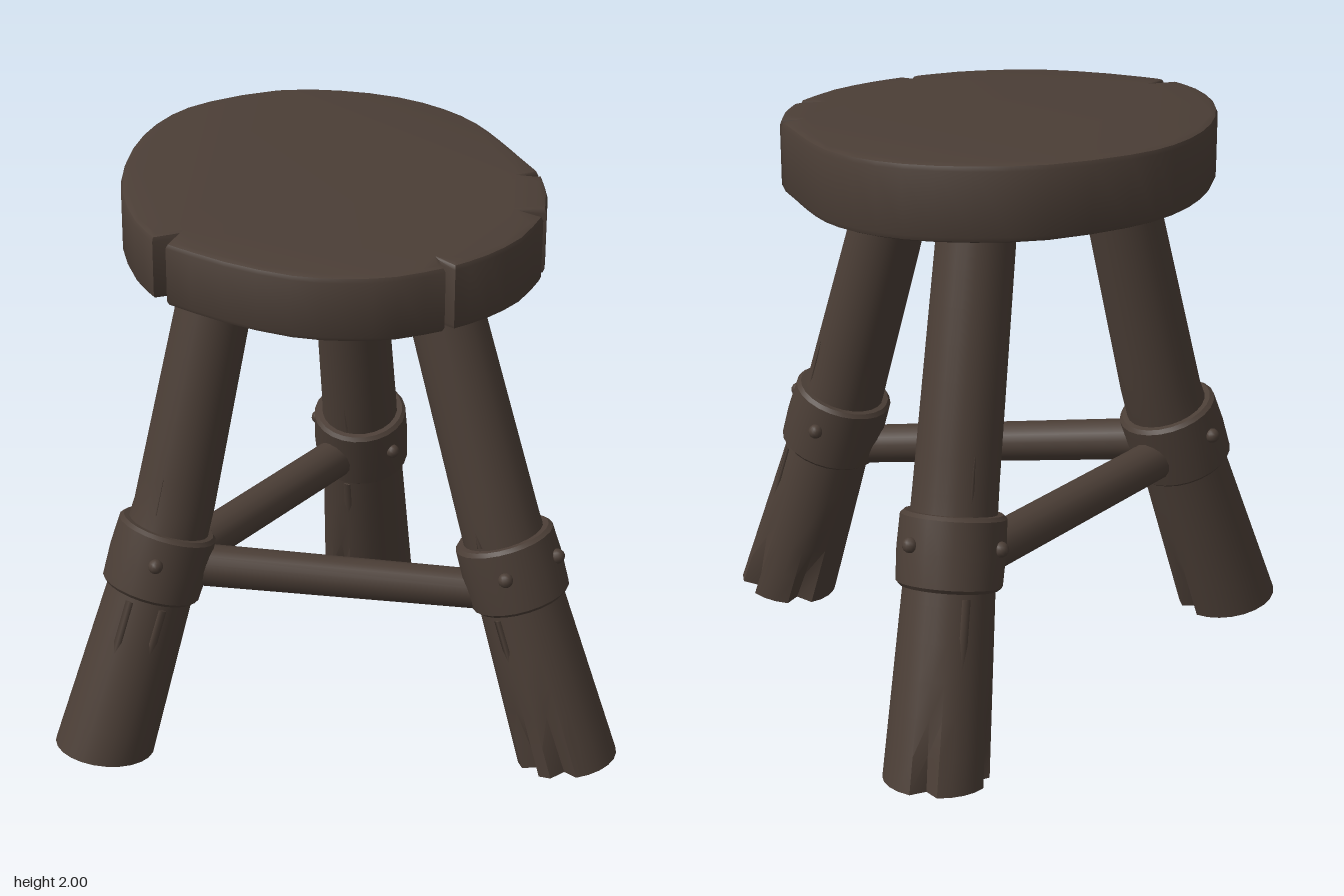
import * as THREE from 'three';
import { toCreasedNormals } from 'three/addons/utils/BufferGeometryUtils.js';

const wood = new THREE.MeshStandardMaterial({ color: 0x4b3e36 });
wood.name = 'darkWood';

const V = (x, y, z) => new THREE.Vector3(x, y, z);
const UP = V(0, 1, 0);

function part(name, geometry) {
  const mesh = new THREE.Mesh(geometry, wood);
  mesh.name = name;
  return mesh;
}

// Each leg bends once at the band. Angles run from +z towards +x, in degrees.
const LEGS = [
  { name: 'frontLeg', top: V(-0.165, 1.76, 0.27), bend: V(-0.195, 0.88, 0.475), foot: V(-0.227, 0.043, 0.76),
    splits: [180], rivets: [50, -75, 185], cracks: [75, 30] },
  { name: 'rightBackLeg', top: V(-0.395, 1.8, -0.375), bend: V(-0.55, 0.85, -0.57), foot: V(-0.74, 0.027, -0.762),
    splits: [-135, 15, -45], rivets: [-60, 95, 190], cracks: [30, -100] },
  { name: 'leftBackLeg', top: V(0.235, 1.74, -0.27), bend: V(0.51, 0.85, -0.365), foot: V(0.744, 0.027, -0.495),
    splits: [0, 45, 180, -105], rivets: [45, 118, 215], cracks: [15, 170] },
];

// Centre, radius and sideways slope of a leg at height y
function axisAt(leg, y) {
  const upper = y > leg.bend.y;
  const [a, b] = upper ? [leg.bend, leg.top] : [leg.foot, leg.bend];
  const t = (y - a.y) / (b.y - a.y);
  return {
    centre: a.clone().lerp(b, t),
    radius: upper ? THREE.MathUtils.lerp(0.136, 0.122, t) : THREE.MathUtils.lerp(0.168, 0.136, t),
    dir: b.clone().sub(a).normalize(),
  };
}

// Cylinder bent along the leg axis, with splits pressed into the foot
function legGeometry(leg) {
  const geo = new THREE.CylinderGeometry(1, 1, 1, 24, 16);
  const pos = geo.attributes.position;
  for (let i = 0; i < pos.count; i++) {
    const x = pos.getX(i), z = pos.getZ(i);
    const y = THREE.MathUtils.lerp(leg.foot.y, leg.top.y, pos.getY(i) + 0.5);
    const { centre, radius, dir } = axisAt(leg, y);
    const angle = Math.atan2(x, z) * 180 / Math.PI;
    const split = leg.splits.some(s => Math.cos((angle - s) * Math.PI / 180) > 0.995);
    const r = radius * (split ? 1 - 0.28 * Math.max(0, 1 - (y - leg.foot.y) / 0.28) : 1);
    const dx = x * r, dz = z * r;
    const dy = -0.45 * (dx * dir.x + dz * dir.z) / dir.y;
    pos.setXYZ(i, centre.x + dx, y + dy, centre.z + dz);
  }
  return toCreasedNormals(geo, 0.6);
}

// Thick collar with softened rims
function bandGeometry() {
  const h = 0.118, r = 0.168;
  const profile = [[0.12, -h], [r - 0.012, -h], [r, -h + 0.012], [r + 0.004, 0], [r, h - 0.012], [r - 0.012, h], [0.12, h]]
    .map(p => new THREE.Vector2(...p));
  return toCreasedNormals(new THREE.LatheGeometry(profile, 24), 0.7);
}

function buildLeg(leg) {
  const group = new THREE.Group();
  group.name = leg.name;
  group.add(part('legPost', legGeometry(leg)));

  const { centre, dir } = axisAt(leg, 0.712);
  const collar = new THREE.Group();
  collar.name = 'collar';
  collar.position.copy(centre);
  collar.quaternion.setFromUnitVectors(UP, dir);
  collar.add(part('band', bandGeometry()));
  for (const deg of leg.rivets) {
    const a = deg * Math.PI / 180;
    const rivet = part('rivet', new THREE.SphereGeometry(0.025, 12, 8));
    rivet.position.set(Math.sin(a) * 0.173, 0.02, Math.cos(a) * 0.173);
    collar.add(rivet);
  }
  group.add(collar);

  // Thin splinters: a long one below the band, a pointed one above it
  for (const deg of leg.cracks) {
    for (const [y, length, top] of [[0.47, 0.24, 0.014], [0.92, 0.2, 0.001]]) {
      const at = axisAt(leg, y);
      const holder = new THREE.Group();
      holder.name = 'splinter';
      holder.position.copy(at.centre);
      holder.quaternion.setFromUnitVectors(UP, at.dir);
      holder.rotateY(deg * Math.PI / 180);
      const chip = part('splinterStrip', new THREE.CylinderGeometry(top, 0.014, length, 4));
      chip.scale.z = 0.25;
      chip.position.z = at.radius - 0.002;
      holder.add(chip);
      group.add(holder);
    }
  }
  return group;
}

// Round slab with notched rim, sloping down to one side
function seatGeometry() {
  const arcs = [
    [[0.225, -0.735], [0.34, -0.66], [0.435, -0.575]],
    [[0.472, -0.53], [0.56, -0.37], [0.6, -0.2], [0.604, -0.065]],
    [[0.6, -0.03], [0.57, 0.13], [0.5, 0.27], [0.39, 0.4], [0.2, 0.52], [0, 0.6]],
    [[-0.06, 0.61], [-0.2, 0.59], [-0.4, 0.51], [-0.6, 0.37], [-0.76, 0.2], [-0.86, 0.02], [-0.89, -0.16],
      [-0.85, -0.42], [-0.73, -0.61], [-0.57, -0.75], [-0.4, -0.82], [-0.24, -0.835], [-0.08, -0.81], [0.05, -0.78], [0.19, -0.748]],
  ];
  const tips = [[0.4, -0.5], [0.546, -0.05], [-0.045, 0.525], [0.19, -0.685]];
  const outline = arcs.flatMap((arc, i) => {
    const curve = new THREE.SplineCurve(arc.map(p => new THREE.Vector2(p[0], -p[1])));
    return [...curve.getPoints((arc.length - 1) * 2), new THREE.Vector2(tips[i][0], -tips[i][1])];
  });
  const bevel = 0.02, height = 0.24;
  const geo = new THREE.ExtrudeGeometry(new THREE.Shape(outline), {
    depth: height - 2 * bevel, bevelSize: bevel, bevelThickness: bevel, bevelOffset: -bevel, bevelSegments: 2,
  });
  geo.rotateX(-Math.PI / 2);
  const pos = geo.attributes.position;
  for (let i = 0; i < pos.count; i++) {
    const x = pos.getX(i) + 0.145, z = pos.getZ(i) + 0.115;
    const t = (pos.getY(i) + bevel) / height;
    pos.setY(i, THREE.MathUtils.lerp(1.715 - 0.07 * x, 1.942 - 0.078 * x - 0.02 * z, t));
  }
  return toCreasedNormals(geo, 0.6);
}

// Straight rod between two points
function rod(name, a, b, rA, rB) {
  const mesh = part(name, new THREE.CylinderGeometry(rB, rA, a.distanceTo(b), 16));
  mesh.position.copy(a).lerp(b, 0.5);
  mesh.quaternion.setFromUnitVectors(UP, b.clone().sub(a).normalize());
  return mesh;
}

export function createModel() {
  const stool = new THREE.Group();
  stool.name = 'stool';
  stool.add(part('seat', seatGeometry()));
  for (const leg of LEGS) stool.add(buildLeg(leg));
  stool.add(rod('rightStretcher', V(-0.22, 0.655, 0.5), V(-0.595, 0.655, -0.58), 0.07, 0.072));
  stool.add(rod('leftStretcher', V(-0.18, 0.69, 0.5), V(0.54, 0.61, -0.38), 0.072, 0.066));
  return stool;
}
